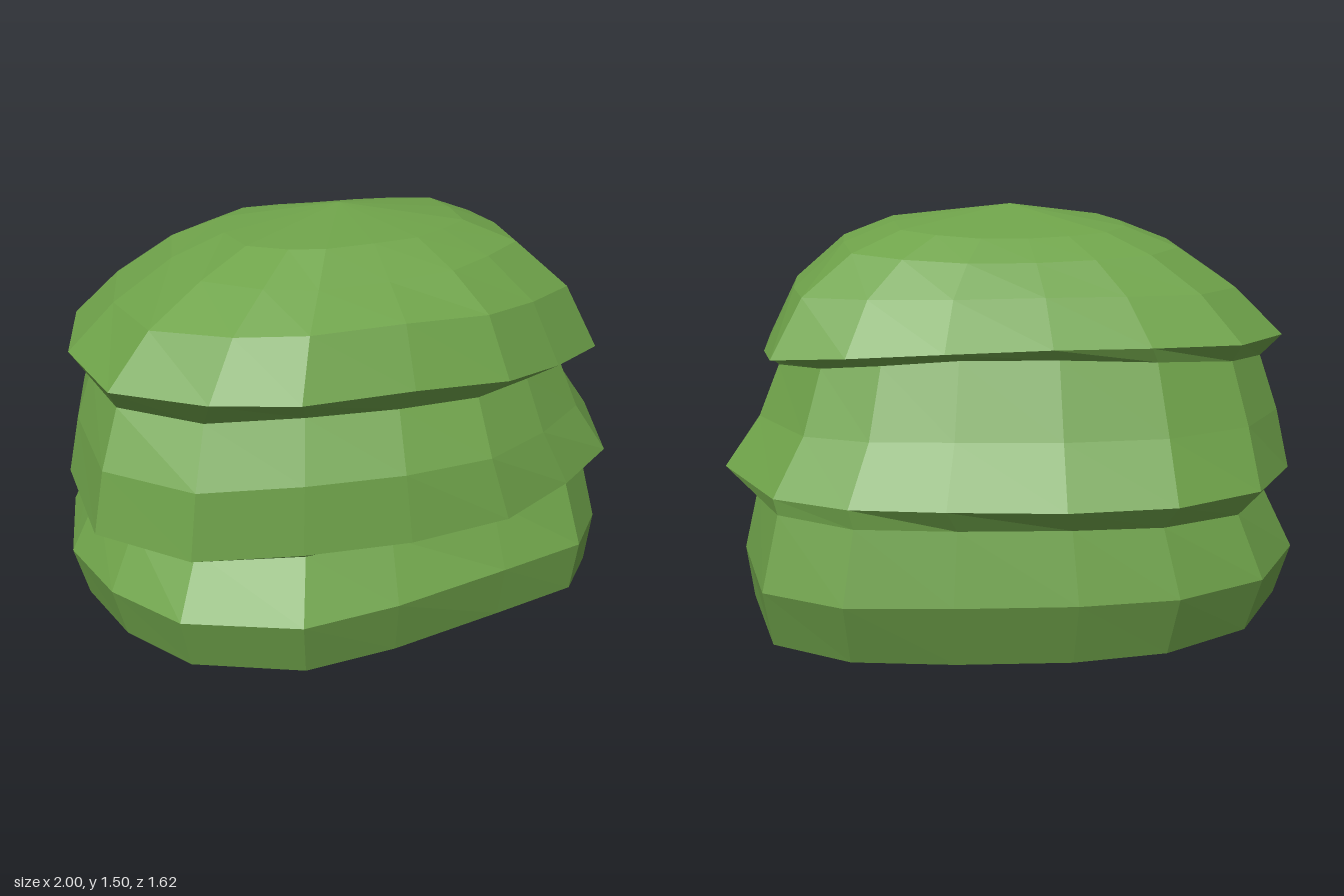
import * as THREE from 'three';

// Plan outlines as x, z pairs, running from the left side (+x) round by the front
const CROWN = [0.88, 0.19, 0.69, 0.41, 0.48, 0.6, 0.16, 0.71, -0.2, 0.8, -0.48, 0.76, -0.79, 0.6, -0.94, 0.2,
  -0.94, -0.22, -0.75, -0.49, -0.44, -0.6, -0.12, -0.66, 0.22, -0.7, 0.53, -0.65, 0.78, -0.53, 0.85, -0.18];
const BODY = [0.95, 0.2, 0.75, 0.43, 0.5, 0.63, 0.16, 0.73, -0.2, 0.78, -0.56, 0.8, -0.87, 0.61, -0.98, 0.15,
  -0.98, -0.27, -0.82, -0.58, -0.52, -0.76, -0.16, -0.81, 0.22, -0.79, 0.53, -0.76, 0.78, -0.64, 1, -0.24];
const BASE = [0.94, 0.16, 0.83, 0.37, 0.53, 0.5, 0.13, 0.67, -0.2, 0.78, -0.6, 0.71, -0.83, 0.49, -0.98, 0.19,
  -1, -0.24, -0.83, -0.575, -0.53, -0.74, -0.2, -0.78, 0.2, -0.79, 0.55, -0.8, 0.82, -0.68, 0.94, -0.25];
const SIDES = 16;

// One ring: reach and height at +x, -x, +z and -z, blended round the outline
function ring(outline, reach, height) {
  const xs = outline.filter((_, i) => i % 2 === 0);
  const zs = outline.filter((_, i) => i % 2 === 1);
  const xMax = Math.max(...xs), xMin = -Math.min(...xs);
  const zMax = Math.max(...zs), zMin = -Math.min(...zs);
  return xs.map((x0, i) => {
    const u = x0 / (x0 > 0 ? xMax : xMin);
    const v = zs[i] / (zs[i] > 0 ? zMax : zMin);
    const w = (u * u) / (u * u + v * v);
    const y = w * height[u > 0 ? 0 : 1] + (1 - w) * height[v > 0 ? 2 : 3];
    return [u * reach[u > 0 ? 0 : 1], y, v * reach[v > 0 ? 2 : 3]];
  });
}

const point = (x, y, z) => Array.from({ length: SIDES }, () => [x, y, z]);

// Skin a stack of rings, listed from top to bottom
function loft(name, rings, material) {
  const positions = [];
  const same = (a, b) => a.every((value, k) => value === b[k]);
  for (let r = 0; r < rings.length - 1; r++) {
    for (let i = 0; i < SIDES; i++) {
      const j = (i + 1) % SIDES;
      const a = rings[r][i], b = rings[r][j];
      const c = rings[r + 1][i], d = rings[r + 1][j];
      if (!same(a, b)) positions.push(...a, ...b, ...c);
      if (!same(c, d)) positions.push(...b, ...d, ...c);
    }
  }
  const geometry = new THREE.BufferGeometry();
  geometry.setAttribute('position', new THREE.Float32BufferAttribute(positions, 3));
  geometry.computeVertexNormals(); // unshared corners give flat facets
  const mesh = new THREE.Mesh(geometry, material);
  mesh.name = name;
  return mesh;
}

export function createModel() {
  const group = new THREE.Group();
  group.name = 'layeredBush';
  const green = new THREE.MeshStandardMaterial({ color: 0x6fa34a });
  green.name = 'leafGreen';

  // Creases shared by neighbouring tiers
  const upperCrease = ring(BODY, [0.81, 0.87, 0.66, 0.61], [0.95, 0.98, 0.97, 1.05]);
  const lowerCrease = ring(BASE, [0.88, 0.9, 0.64, 0.75], [0.58, 0.5, 0.47, 0.52]);

  // Domed crown with an overhanging rim
  group.add(loft('upperFoliage', [
    point(0, 1.5, 0),
    ring(CROWN, [0.42, 0.4, 0.4, 0.38], [1.45, 1.43, 1.45, 1.41]),
    ring(CROWN, [0.6, 0.58, 0.55, 0.48], [1.38, 1.36, 1.36, 1.34]),
    ring(CROWN, [0.78, 0.78, 0.71, 0.58], [1.22, 1.22, 1.27, 1.24]),
    ring(CROWN, [0.89, 0.94, 0.81, 0.7], [1.0, 1.06, 1.08, 1.09]),
    upperCrease,
  ], green));

  // Middle tier flaring to its rim
  group.add(loft('middleFoliage', [
    upperCrease,
    ring(BODY, [0.88, 0.93, 0.77, 0.7], [0.78, 0.8, 0.78, 0.8]),
    ring(BODY, [1, 0.97, 0.8, 0.81], [0.61, 0.6, 0.55, 0.6]),
    lowerCrease,
  ], green));

  // Bottom tier, cut back at the front left, with a shallow underside
  group.add(loft('lowerFoliage', [
    lowerCrease,
    ring(BASE, [0.94, 1, 0.78, 0.8], [0.32, 0.3, 0.28, 0.28]),
    ring(BASE, [0.92, 0.95, 0.72, 0.71], [0.13, 0.12, 0.08, 0.05]),
    ring(BASE, [0.72, 0.35, 0.3, 0.35], [0.02, 0.0, 0.04, 0.02]),
    point(0, 0, 0),
  ], green));

  return group;
}
